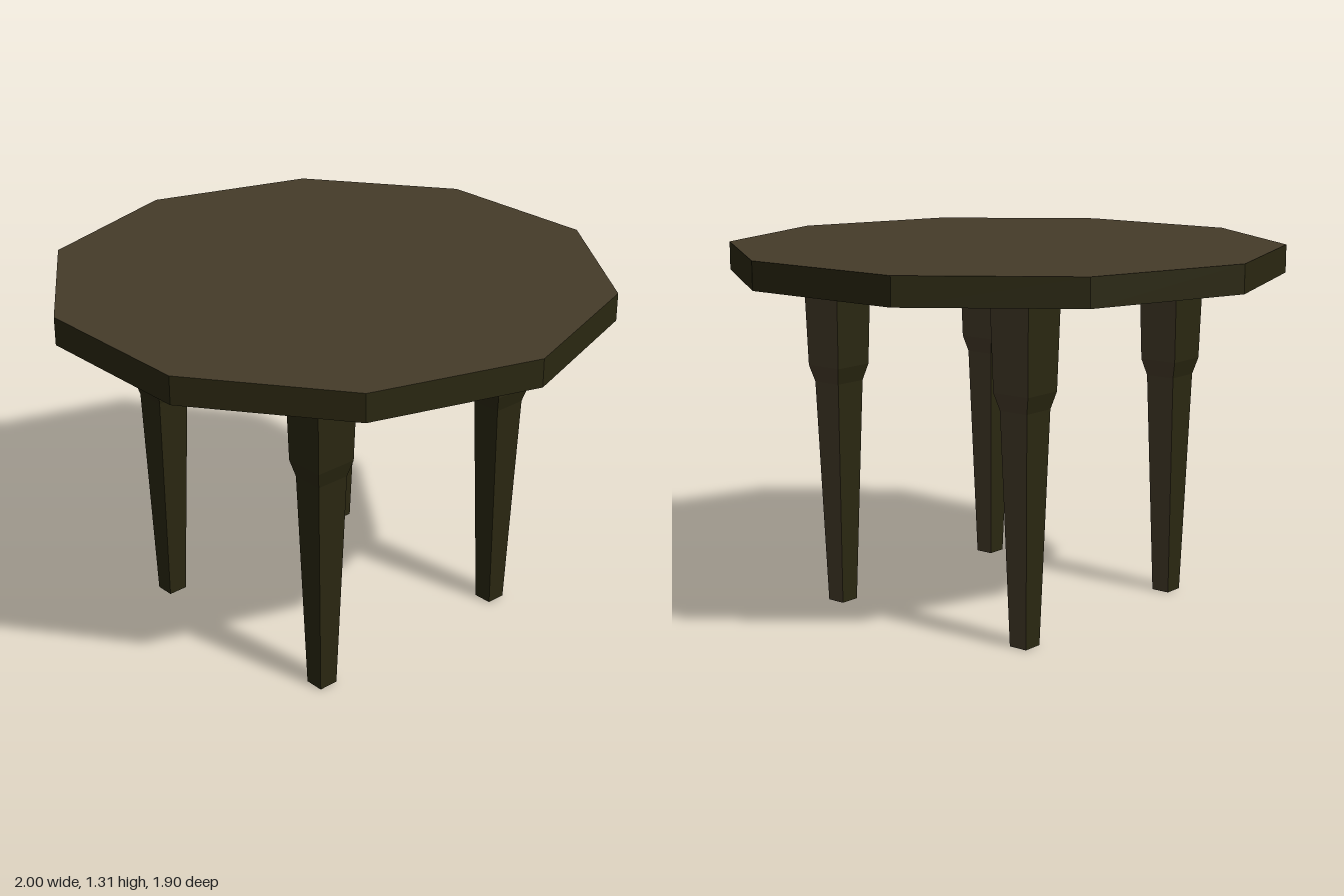
import * as THREE from 'three';

// Leg sections from foot to tabletop: height, half width, half depth
const LEG_SECTIONS = [
  [0, 0.035, 0.037],
  [0.82, 0.057, 0.063],
  [0.88, 0.073, 0.078],
  [1.215, 0.081, 0.087],
];

// Square leg: a segmented box reshaped to the sections, with flat normals
function legGeometry() {
  const box = new THREE.BoxGeometry(1, 1, 1, 1, LEG_SECTIONS.length - 1, 1);
  const pos = box.attributes.position;
  for (let i = 0; i < pos.count; i++) {
    const level = Math.round((pos.getY(i) + 0.5) * (LEG_SECTIONS.length - 1));
    const [y, halfX, halfZ] = LEG_SECTIONS[level];
    pos.setXYZ(i, Math.sign(pos.getX(i)) * halfX, y, Math.sign(pos.getZ(i)) * halfZ);
  }
  const flat = box.toNonIndexed();
  flat.computeVertexNormals();
  return flat;
}

export function createModel() {
  const brown = new THREE.MeshStandardMaterial({ color: 0x453b29 });
  brown.name = 'brownWood';
  const dark = new THREE.MeshStandardMaterial({ color: 0x2a2711 });
  dark.name = 'darkOliveWood';

  const table = new THREE.Group();
  table.name = 'table';

  // Ten-sided tabletop with a dark rim
  const topGeometry = new THREE.CylinderGeometry(1, 1, 0.1, 10, 1, false, Math.PI / 2).toNonIndexed();
  topGeometry.computeVertexNormals();
  const top = new THREE.Mesh(topGeometry, [dark, brown, brown]);
  top.name = 'tabletop';
  top.position.y = 1.26;
  table.add(top);

  // Four legs, brown on the back face only
  const geometry = legGeometry();
  for (const x of [-1, 1]) {
    for (const z of [-1, 1]) {
      const leg = new THREE.Mesh(geometry, [dark, dark, dark, dark, dark, brown]);
      leg.name = (z > 0 ? 'front' : 'back') + (x > 0 ? 'Left' : 'Right') + 'Leg';
      leg.position.set(x * 0.428, 0, z * 0.428);
      table.add(leg);
    }
  }
  return table;
}
